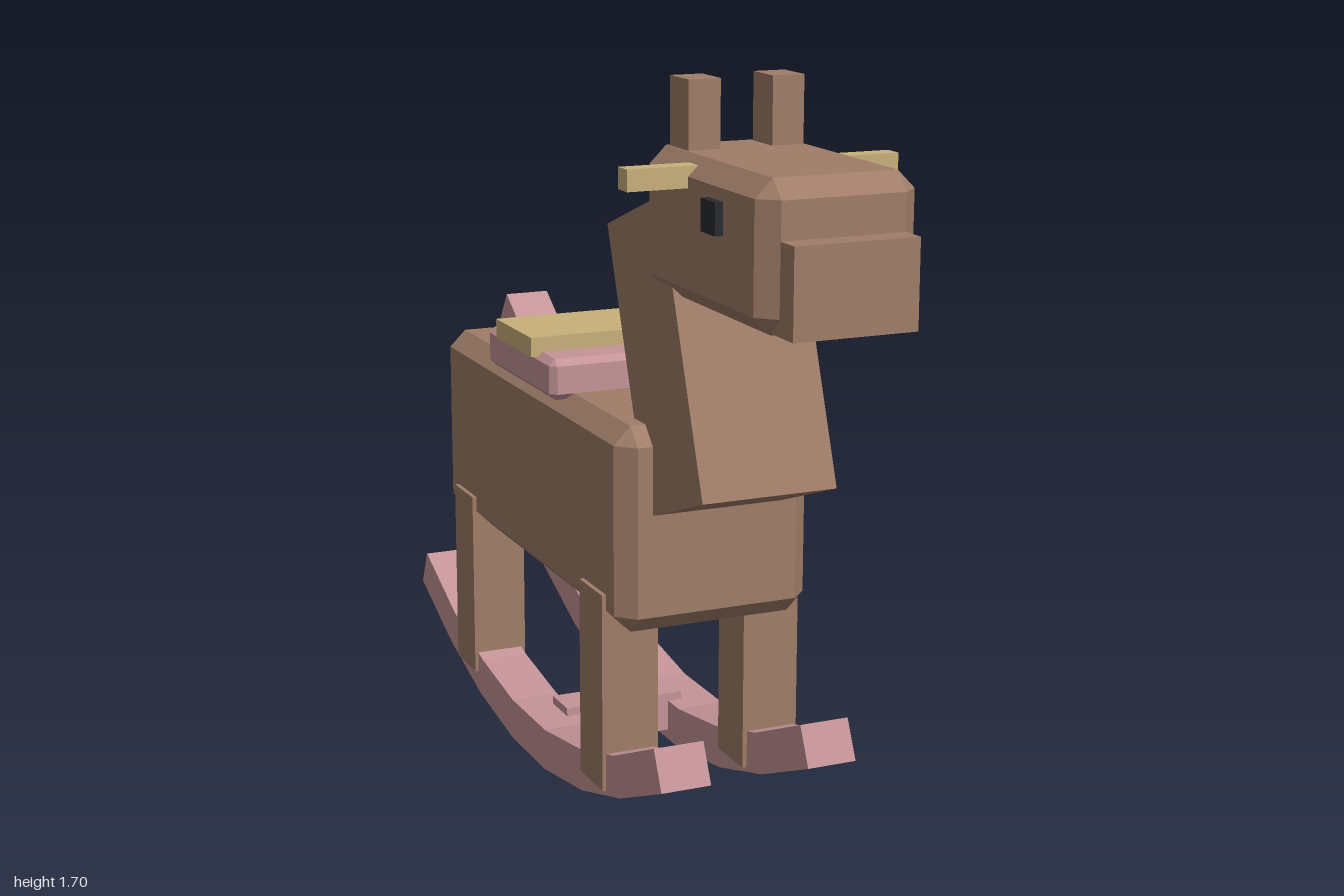
import * as THREE from 'three';
import { ConvexGeometry } from 'three/addons/geometries/ConvexGeometry.js';

const material = (name, color) => {
  const m = new THREE.MeshStandardMaterial({ color });
  m.name = name;
  return m;
};

// Box with bevelled edges and corners, c being the bevel
function bevelledBox(w, h, d, c) {
  const points = [];
  for (const sx of [-1, 1]) for (const sy of [-1, 1]) for (const sz of [-1, 1]) {
    const x = w / 2, y = h / 2, z = d / 2;
    points.push(
      new THREE.Vector3(sx * x, sy * (y - c), sz * (z - c)),
      new THREE.Vector3(sx * (x - c), sy * y, sz * (z - c)),
      new THREE.Vector3(sx * (x - c), sy * (y - c), sz * z));
  }
  return new ConvexGeometry(points);
}

// Curved runner, drawn in side profile and extruded across x
function runnerGeometry(width) {
  const bottom = [[0.11, 0], [0.345, 0.037], [0.57, 0.104], [0.798, 0.203]];
  const top = [[0.11, 0.1], [0.325, 0.133], [0.535, 0.192], [0.757, 0.29]];
  const mirror = (list) => list.map(([z, y]) => [-z, y]);
  const outline = [
    ...mirror(bottom).reverse(), ...bottom,
    ...top.slice().reverse(), ...mirror(top),
  ].map(([z, y]) => new THREE.Vector2(z, y));
  const g = new THREE.ExtrudeGeometry(new THREE.Shape(outline), { depth: width, bevelEnabled: false });
  return g.translate(0, 0, -width / 2).rotateY(-Math.PI / 2);
}

export function createModel() {
  const model = new THREE.Group();
  model.name = 'rockingHorse';
  const brown = material('brown wood', 0xa07d68);
  const pink = material('dusty pink', 0xc49497);
  const gold = material('pale gold', 0xc8b07a);
  const black = material('eye black', 0x2a2b30);

  const add = (name, geometry, mat, x, y, z, tilt = 0) => {
    const mesh = new THREE.Mesh(geometry, mat);
    mesh.name = name;
    mesh.position.set(x, y, z);
    mesh.rotation.x = THREE.MathUtils.degToRad(tilt);
    model.add(mesh);
  };
  const box = (w, h, d) => new THREE.BoxGeometry(w, h, d);

  // Body, neck and head
  add('body', bevelledBox(0.46, 0.465, 1.15, 0.04), brown, 0, 0.708, -0.19);
  add('neck', box(0.31, 0.647, 0.302), brown, 0, 1.092, 0.388, -20);
  add('head', bevelledBox(0.345, 0.305, 0.575, 0.038), brown, 0, 1.398, 0.655);
  add('snout', box(0.27, 0.185, 0.2), brown, 0, 1.342, 0.9);

  // Mane and tail
  add('mane', box(0.09, 0.31, 0.45), pink, 0, 1.243, 0.232, -22.5);
  add('tail', box(0.11, 0.381, 0.112), pink, 0, 0.822, -0.845, 34.3);

  // Saddle, seat and handle bar
  add('saddle', bevelledBox(0.49, 0.095, 0.42, 0.015), pink, 0, 0.973, -0.19);
  add('seat', box(0.515, 0.045, 0.23), gold, 0, 1.033, -0.19);
  add('handleBar', box(0.61, 0.045, 0.045), gold, 0, 1.512, 0.578);

  // Paired parts
  for (const [side, s] of [['left', 1], ['right', -1]]) {
    add(side + 'Ear', box(0.072, 0.2, 0.092), brown, s * 0.095, 1.595, 0.463);
    add(side + 'Eye', box(0.04, 0.067, 0.067), black, s * 0.17, 1.453, 0.732);
    add(side + 'FrontLeg', box(0.135, 0.46, 0.132), brown, s * 0.173, 0.322, 0.235);
    add(side + 'BackLeg', box(0.135, 0.46, 0.132), brown, s * 0.173, 0.322, -0.613);
    add(side + 'Runner', runnerGeometry(0.116), pink, s * 0.174, 0, -0.19);
  }

  // Bar joining the runners
  add('crossbar', box(0.3, 0.095, 0.095), pink, 0, 0.072, -0.19);

  return model;
}
